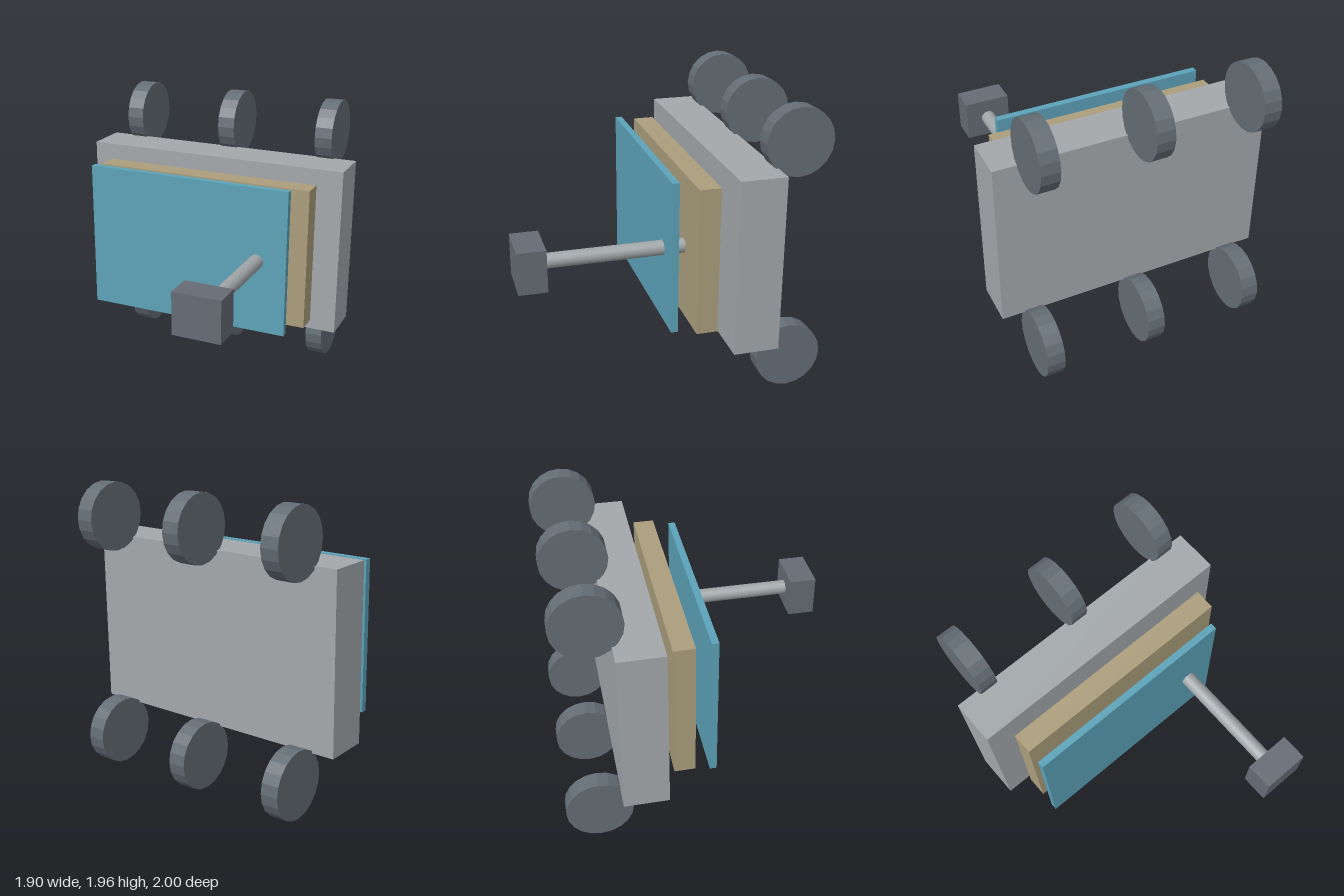
import * as THREE from 'three';

const material = (name, color, flatShading = false) => {
  const m = new THREE.MeshStandardMaterial({ color, flatShading });
  m.name = name;
  return m;
};

export function createModel() {
  const group = new THREE.Group();
  const grey = material('body grey', 0xa3a8ab);
  const tan = material('panel tan', 0xab9e7c);
  const blue = material('sheet blue', 0x5ca2b9);
  const slate = material('wheel slate', 0x646d75, true);
  const dark = material('block slate', 0x666b74);
  const silver = material('rod silver', 0xa0a5a8);

  const add = (name, geometry, mat, x, y, z) => {
    const mesh = new THREE.Mesh(geometry, mat);
    mesh.name = name;
    mesh.position.set(x, y, z);
    group.add(mesh);
  };

  // Box given by its extents on each axis
  const box = (name, mat, [x0, x1], [y0, y1], [z0, z1]) =>
    add(name, new THREE.BoxGeometry(x1 - x0, y1 - y0, z1 - z0), mat,
      (x0 + x1) / 2, (y0 + y1) / 2, (z0 + z1) / 2);

  // Layered slabs, back to front
  box('body', grey, [-0.95, 0.95], [0.39, 1.58], [-0.63, -0.325]);
  box('innerPanel', tan, [-0.79, 0.785], [0.483, 1.485], [-0.265, -0.122]);
  box('frontSheet', blue, [-0.79, 0.688], [0.463, 1.507], [-0.025, 0.022]);

  // Rod reaching forward to the end block
  const rod = new THREE.CylinderGeometry(0.051, 0.051, 0.94, 20).rotateX(Math.PI / 2);
  add('rod', rod, silver, 0.473, 0.985, 0.345);
  box('endBlock', dark, [0.311, 0.635], [0.842, 1.128], [0.812, 1]);

  // Three wheels along the top and three along the bottom
  const wheel = new THREE.CylinderGeometry(0.227, 0.227, 0.122, 20).rotateZ(Math.PI / 2);
  for (const y of [0.228, 1.737]) {
    for (const x of [-0.735, 0, 0.73]) add('wheel', wheel, slate, x, y, -0.773);
  }
  return group;
}
